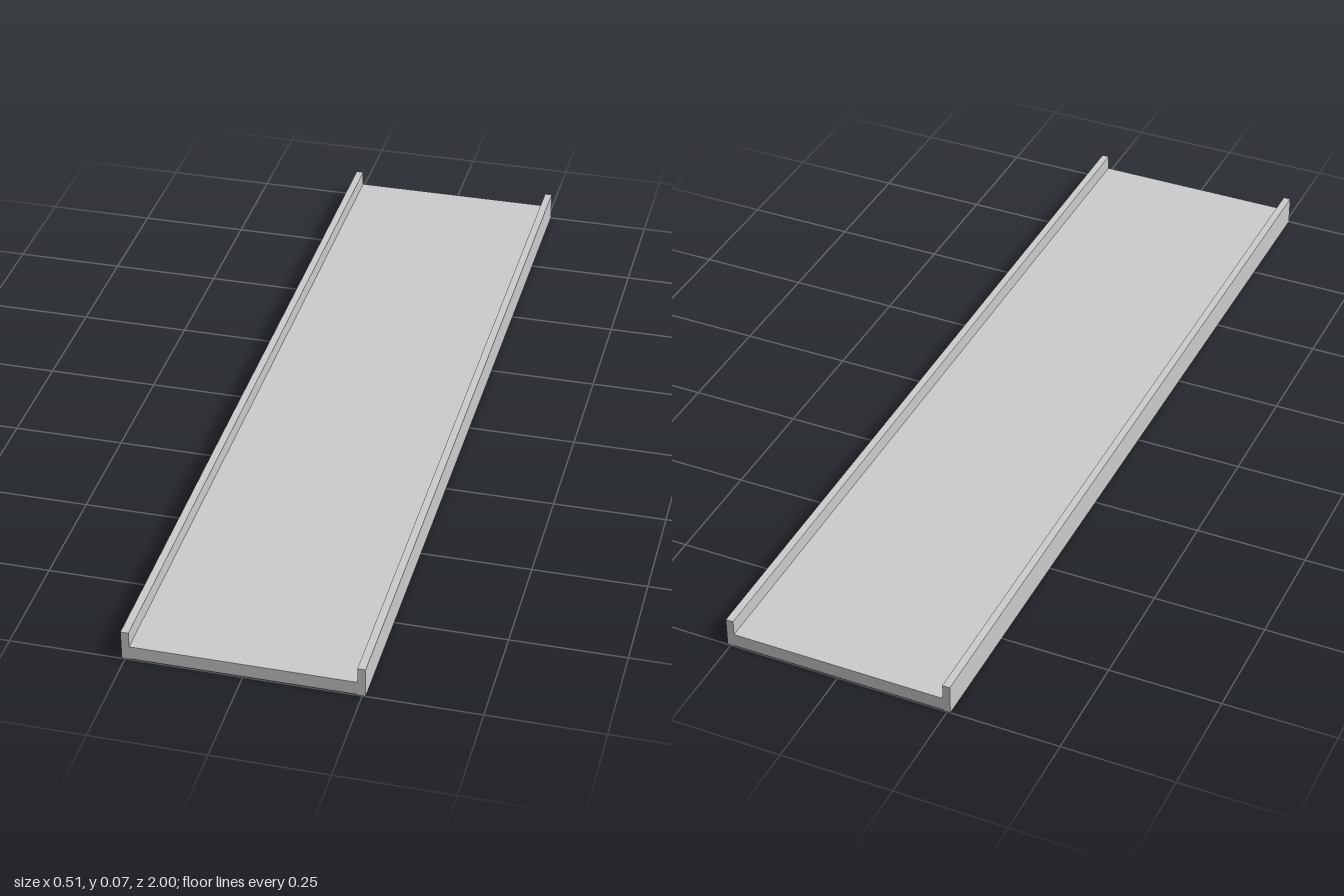
import * as THREE from 'three';

export function createModel() {
  const group = new THREE.Group();
  const material = new THREE.MeshStandardMaterial({ color: 0xcccccc });
  const length = 2, halfWidth = 0.257, inner = 0.24;
  const railHeight = 0.068, deckBottom = 0.002, deckTop = 0.033;

  const addBox = (name, width, bottom, top, x) => {
    const mesh = new THREE.Mesh(new THREE.BoxGeometry(width, top - bottom, length), material);
    mesh.name = name;
    mesh.position.set(x, (bottom + top) / 2, 0);
    group.add(mesh);
  };

  // Flat deck, raised a hair above the rail bottoms
  addBox('deck', inner * 2, deckBottom, deckTop, 0);

  // Upright rails along both long edges
  for (const side of [-1, 1]) {
    addBox(side > 0 ? 'leftRail' : 'rightRail', halfWidth - inner, 0, railHeight, side * (halfWidth + inner) / 2);
  }
  return group;
}
